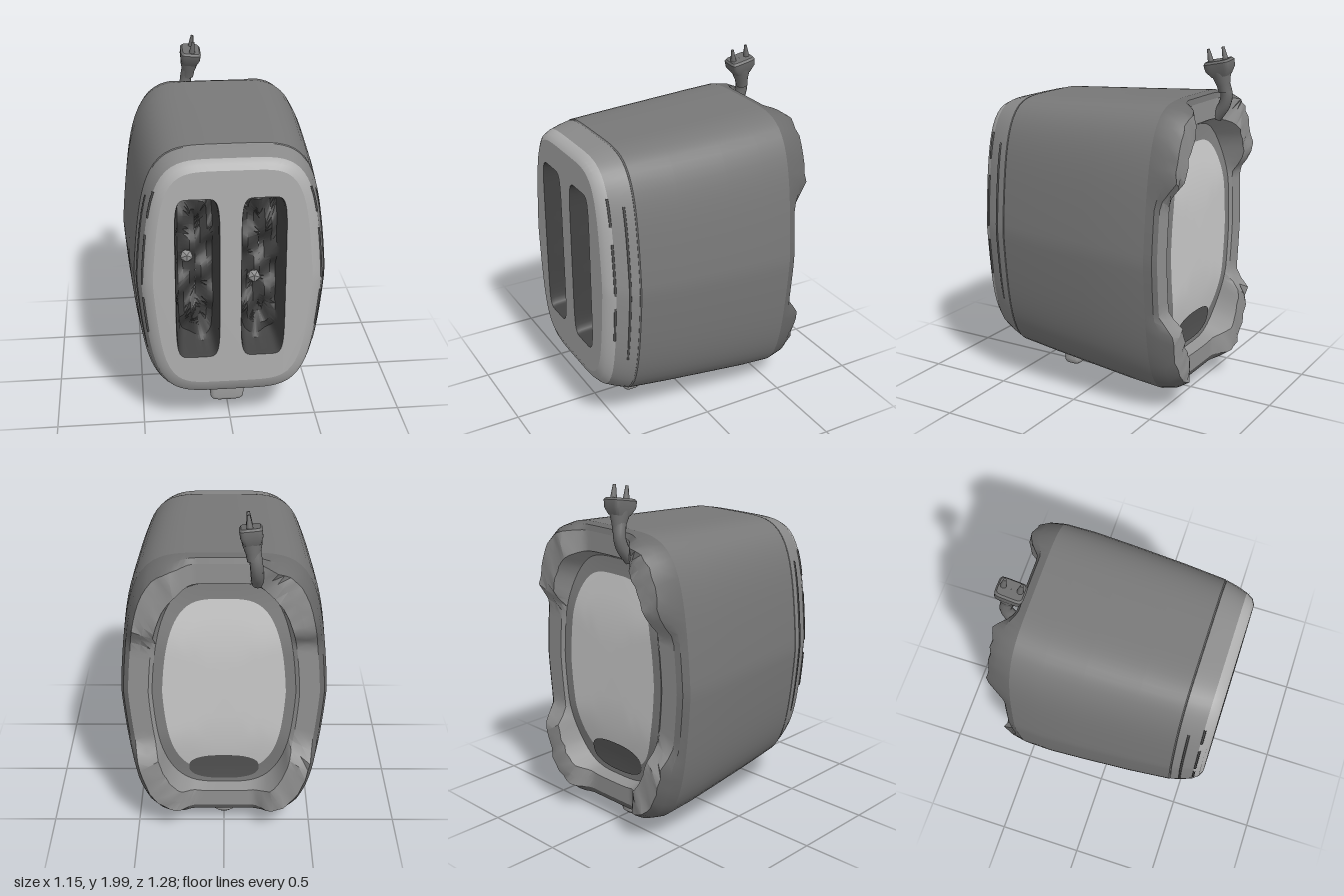
import * as THREE from 'three';
import { toCreasedNormals } from 'three/addons/utils/BufferGeometryUtils.js';

const N = 112;
const smooth = THREE.MathUtils.smoothstep;
const paint = (color, side = THREE.FrontSide) => new THREE.MeshStandardMaterial({ color, side });
const MAT = {
  body: paint(0x787878), hem: paint(0x6c6c6c), bezel: paint(0x8a8a8a), face: paint(0xb0b0b0),
  slot: paint(0x424242, THREE.DoubleSide), crumb: paint(0x909090), vent: paint(0x505050),
  rim: paint(0x929292), panelEdge: paint(0x808080), panel: paint(0xcccccc), hollow: paint(0x585858),
  plug: paint(0x6e6e6e), knob: paint(0x9c9c9c),
};

// Rounded-rectangle (superellipse) ring; z may be a function of x and y
function ring(cx, cy, w, h, z, n, taper = 0) {
  return Array.from({ length: N }, (_, i) => {
    const a = (i / N) * Math.PI * 2, c = Math.cos(a), s = Math.sin(a);
    const r = 1 / Math.pow(Math.abs(c) ** n + Math.abs(s) ** n, 1 / n);
    const x = cx + w * c * r * (1 - taper * Math.abs(s * r) ** 1.25), y = cy + h * s * r;
    return new THREE.Vector3(x, y, typeof z === 'function' ? z(x, y) : z);
  });
}

// Skin over rings listed from front to back
function loft(rings, crease = 0.6) {
  const pos = [], idx = [];
  rings.forEach(r => r.forEach(p => pos.push(p.x, p.y, p.z)));
  for (let i = 0; i < rings.length - 1; i++) {
    for (let j = 0; j < N; j++) {
      const k = (j + 1) % N, a = i * N + j, b = i * N + k;
      idx.push(a, a + N, b, b, a + N, b + N);
    }
  }
  const g = new THREE.BufferGeometry();
  g.setAttribute('position', new THREE.Float32BufferAttribute(pos, 3));
  g.setIndex(idx);
  return toCreasedNormals(g, crease);
}

function add(parent, name, geometry, material, x = 0, y = 0, z = 0) {
  const m = new THREE.Mesh(geometry, material);
  m.name = name;
  m.position.set(x, y, z);
  parent.add(m);
  return m;
}

// Body ring from half width and lowest / highest y, bulging at mid height
const TAPER = 0.15;
const section = (w, y0, y1, z, n) => ring(0, (y0 + y1) / 2, w, (y1 - y0) / 2, z, n, TAPER);
const lathe = (profile, segments) => toCreasedNormals(
  new THREE.LatheGeometry(profile.map(p => new THREE.Vector2(...p)), segments), 0.7);
const flat = points => points.map(p => new THREE.Vector2(p.x, p.y));

// Back rim: four rough corner feet stand out, the sides between them are cut back
const corner = (x, y) => smooth(Math.abs(x), 0.16, 0.28) * smooth(Math.abs(y - 0.925), 0.3, 0.43);
const ripple = (x, y) => 0.012 * Math.sin(x * 41 + y * 17) * Math.sin(y * 53 - x * 11);
const rimZ = (x, y) => -0.55 - (0.08 + ripple(x, y)) * corner(x, y);
// Back panel, sinking towards its top and bottom
const panelZ = (x, y) => -0.535 + 0.05 * smooth(Math.abs(y - 0.925), 0.25, 0.65);

const FACE_Z = 0.63;
const slots = [
  { name: 'rightSlot', x: -0.19, crumb: [-0.24, 1.07] },
  { name: 'leftSlot', x: 0.165, crumb: [0.13, 0.93] },
];
const SLOT = { y: 0.99, w: 0.12, h: 0.475, n: 7 };

function shell(group) {
  const faceEdge = section(0.43, 0.35, 1.62, FACE_Z, 5.5);
  const faceBevel = section(0.465, 0.3, 1.65, 0.612, 5.2);
  const bezelMid = section(0.49, 0.26, 1.668, 0.575, 5);
  const seam = section(0.525, 0.205, 1.695, 0.452, 5);
  const hemFront = section(0.568, 0.105, 1.748, -0.49, 5);
  const rimOuter = section(0.525, 0.16, 1.71, rimZ, 5);
  const rimInner = section(0.415, 0.26, 1.6, rimZ, 4);
  const panelRing = s => section(0.395 * s, 0.925 - 0.645 * s, 0.925 + 0.645 * s, panelZ, 3.6);

  add(group, 'faceBevel', loft([faceEdge, faceBevel, bezelMid]), MAT.face);
  add(group, 'bezel', loft([bezelMid, section(0.512, 0.228, 1.684, 0.51, 5), seam]), MAT.bezel);
  add(group, 'body', loft([
    seam,
    section(0.522, 0.208, 1.692, 0.449, 5),
    section(0.528, 0.2, 1.698, 0.443, 5),
    section(0.55, 0.175, 1.71, 0.2, 5),
    section(0.567, 0.145, 1.725, -0.1, 5),
    section(0.576, 0.122, 1.737, -0.32, 5),
    hemFront,
  ]), MAT.body);
  add(group, 'backHem', loft([
    hemFront,
    section(0.552, 0.122, 1.738, (x, y) => (rimZ(x, y) - 0.49) / 2 - 0.012, 5),
    rimOuter,
  ]), MAT.hem);
  add(group, 'backRim', loft([
    rimOuter, section(0.47, 0.21, 1.66, rimZ, 4.5), rimInner, panelRing(1),
  ]), MAT.rim);
  add(group, 'panelEdge', loft([1, 0.93, 0.86].map(panelRing)), MAT.panelEdge);
  add(group, 'backPanel', loft([0.86, 0.7, 0.5, 0.25, 0.001].map(panelRing)), MAT.panel);

  // Dark patch low on the back panel
  const patch = s => ring(0, 0.4, 0.2 * s, 0.09 * s, (x, y) => panelZ(x, y) - 0.006, 2.5);
  add(group, 'backHollow', loft([patch(1), patch(0.6), patch(0.001)]), MAT.hollow);

  // Flat face with the two slot openings
  const face = new THREE.Shape(flat(faceEdge));
  slots.forEach(s => face.holes.push(new THREE.Path(flat(ring(s.x, SLOT.y, SLOT.w, SLOT.h, 0, SLOT.n)))));
  add(group, 'slotFace', new THREE.ShapeGeometry(face), MAT.face, 0, 0, FACE_Z);
}

function breadSlots(group) {
  slots.forEach(s => {
    const slot = new THREE.Group();
    slot.name = s.name;
    const floorZ = (x, y) => 0.42 + 0.04 * Math.sin(y * 23 + x * 9) * Math.cos(x * 31 - y * 8);
    const r = (k, z) => ring(s.x, SLOT.y, SLOT.w * k, SLOT.h * (0.6 + k * 0.4), z, SLOT.n);
    add(slot, 'slotLiner', loft([
      r(1, FACE_Z), r(0.96, 0.605), r(0.9, 0.48), r(0.8, floorZ), r(0.55, floorZ), r(0.25, floorZ), r(0.001, floorZ),
    ]), MAT.slot);
    const crumb = add(slot, 'crumb', new THREE.IcosahedronGeometry(0.045, 0), MAT.crumb, ...s.crumb, 0.48);
    crumb.scale.set(0.9, 0.8, 1);
    group.add(slot);
  });
}

// Narrow vent lines following both sides of the slotted end
function sideVents(group) {
  const rows = [[0.487, 0.58, 0.64, 0.92], [0.487, 0.58, 0.95, 1.27], [0.487, 0.58, 1.32, 1.5], [0.513, 0.503, 0.5, 1.48]];
  for (const side of [1, -1]) {
    const vents = new THREE.Group();
    vents.name = side > 0 ? 'leftVents' : 'rightVents';
    rows.forEach(([w, z, y0, y1]) => {
      const points = section(w, 0.25, 1.675, z, 5)
        .filter(p => p.x > 0 && p.y >= y0 && p.y <= y1)
        .sort((a, b) => a.y - b.y)
        .map(p => p.setX(side * p.x));
      add(vents, 'ventLine', new THREE.TubeGeometry(new THREE.CatmullRomCurve3(points), 16, 0.007, 6), MAT.vent);
    });
    group.add(vents);
  }
}

// Lever and browning dial on the underside
function controls(group) {
  const lever = new THREE.Group();
  lever.name = 'lever';
  add(lever, 'leverStem', new THREE.BoxGeometry(0.12, 0.12, 0.06), MAT.knob, 0, 0.15, 0.29);
  const knob = new THREE.Shape(flat(ring(0, 0, 0.1, 0.066, 0, 4)));
  const knobGeo = new THREE.ExtrudeGeometry(knob, {
    depth: 0.045, bevelEnabled: true, bevelSize: 0.025, bevelOffset: -0.025, bevelThickness: 0.025, bevelSegments: 4,
  });
  add(lever, 'leverKnob', toCreasedNormals(knobGeo, 0.7), MAT.knob, 0, 0.076, 0.262);
  add(lever, 'leverTrack', new THREE.BoxGeometry(0.04, 0.02, 0.5), MAT.vent, 0, 0.163, 0.02).rotation.x = -0.1;
  group.add(lever);

  const dialProfile = [[0, 0], [0.06, 0], [0.076, 0.015], [0.08, 0.07], [0.094, 0.09], [0.094, 0.14]];
  add(group, 'dial', lathe(dialProfile, 28), MAT.knob, 0, 0.012, -0.362);
}

// Power cord rising from the back edge, ending in a two-pin plug
function cordAndPlug(group) {
  const path = new THREE.CatmullRomCurve3([
    new THREE.Vector3(-0.175, 1.6, -0.54), new THREE.Vector3(-0.17, 1.67, -0.59),
    new THREE.Vector3(-0.165, 1.73, -0.605), new THREE.Vector3(-0.155, 1.8, -0.59),
  ]);
  add(group, 'cord', new THREE.TubeGeometry(path, 20, 0.034, 12), MAT.plug);

  const plug = new THREE.Group();
  plug.name = 'plug';
  plug.position.set(-0.152, 1.75, -0.6);
  plug.rotation.set(0.2, 0, -0.1);
  add(plug, 'plugBody', lathe([[0, 0], [0.034, 0], [0.038, 0.04], [0.052, 0.09], [0.056, 0.14]], 20), MAT.plug);
  // Rectangular head, laid so that its outline faces upward
  const head = add(plug, 'plugHead', loft([
    ring(0, 0, 0.001, 0.001, 0.18, 6), ring(0, 0, 0.05, 0.068, 0.18, 6), ring(0, 0, 0.06, 0.077, 0.168, 6),
    ring(0, 0, 0.058, 0.074, 0.13, 6), ring(0, 0, 0.045, 0.05, 0.09, 4),
  ]), MAT.plug);
  head.rotation.x = -Math.PI / 2;
  for (const side of [1, -1]) {
    add(plug, 'plugPin', new THREE.CylinderGeometry(0.008, 0.019, 0.08, 8), MAT.plug, 0.005, 0.208, side * 0.045);
  }
  group.add(plug);
}

export function createModel() {
  const group = new THREE.Group();
  group.name = 'toaster';
  shell(group);
  breadSlots(group);
  sideVents(group);
  controls(group);
  cordAndPlug(group);
  return group;
}
